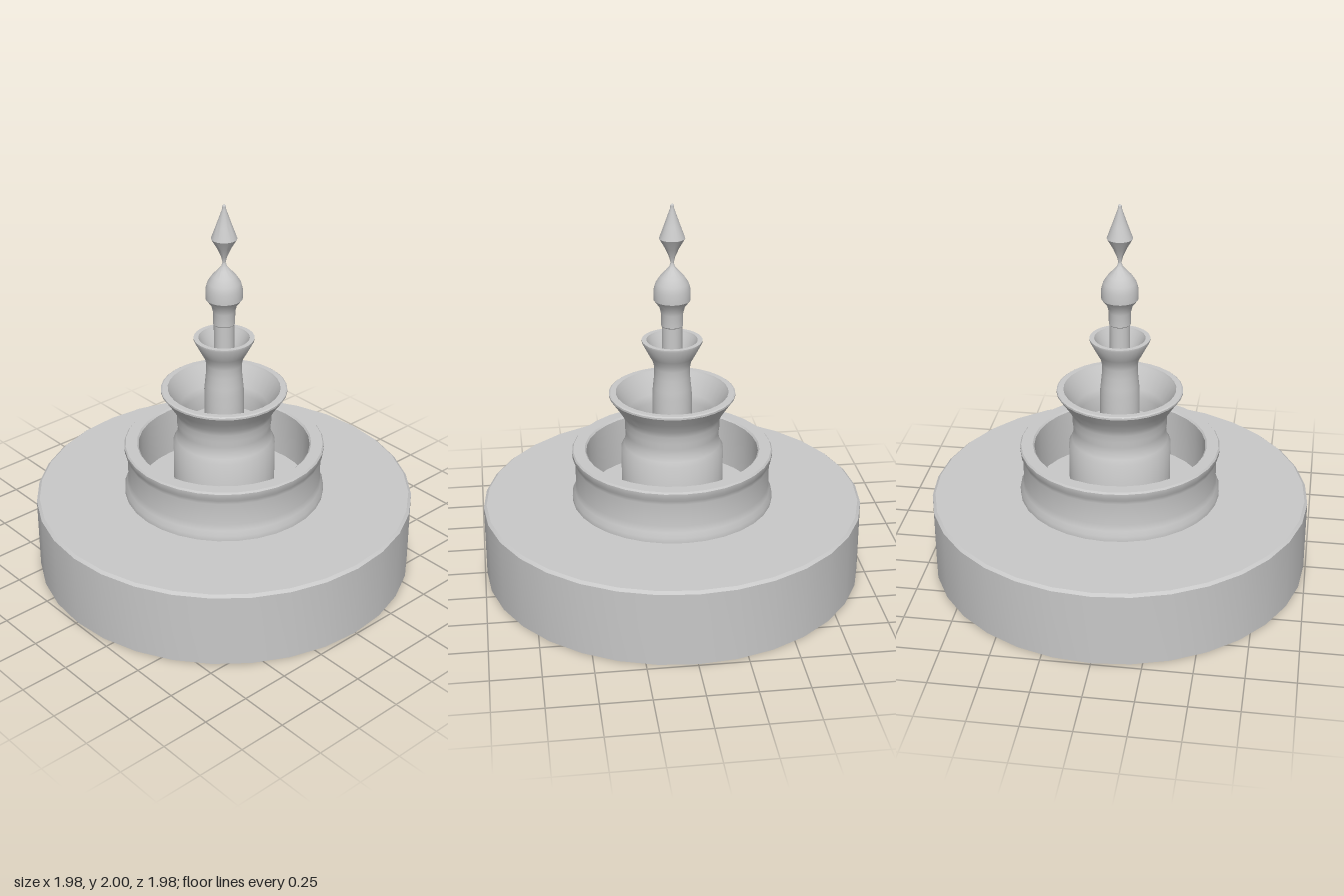
import * as THREE from 'three';
import { toCreasedNormals } from 'three/addons/utils/BufferGeometryUtils.js';

const SIDES = 32;

export function createModel() {
  const fountain = new THREE.Group();
  fountain.name = 'fountain';
  const stone = new THREE.MeshStandardMaterial({ color: 0xc8c8c8 });
  stone.name = 'stone';

  // Turns a [radius, height] profile, running up the outside and down the inside
  function turn(name, profile) {
    const points = profile.map(([r, y]) => new THREE.Vector2(r, y));
    const geometry = toCreasedNormals(new THREE.LatheGeometry(points, SIDES), 0.6);
    const mesh = new THREE.Mesh(geometry, stone);
    mesh.name = name;
    fountain.add(mesh);
  }

  // Wide solid drum
  turn('base', [[0, 0], [0.99, 0], [0.99, 0.39], [0.975, 0.403], [0, 0.403]]);

  // Low ring wall with a moulded foot and rim
  turn('lowerBasin', [
    [0.525, 0.4], [0.525, 0.43], [0.512, 0.455], [0.506, 0.49], [0.506, 0.61],
    [0.509, 0.63], [0.52, 0.648], [0.522, 0.675], [0.515, 0.684],
    [0.455, 0.684], [0.447, 0.675], [0.447, 0.41], [0, 0.41],
  ]);

  // Pedestal and flared bowl
  turn('middleBasin', [
    [0.265, 0.405], [0.265, 0.69], [0.25, 0.715], [0.242, 0.75], [0.241, 0.78],
    [0.246, 0.815], [0.245, 0.85], [0.258, 0.885], [0.29, 0.935],
    [0.325, 0.985], [0.325, 0.995], [0.318, 1.0],
    [0.29, 1.0], [0.285, 0.99], [0.225, 0.89], [0.212, 0.85], [0.212, 0.77], [0, 0.77],
  ]);

  // Slim stem and small cup
  turn('upperBasin', [
    [0.102, 0.765], [0.102, 0.99], [0.098, 1.03], [0.092, 1.09], [0.092, 1.14],
    [0.098, 1.17], [0.115, 1.2], [0.154, 1.275], [0.154, 1.285],
    [0.13, 1.285], [0.127, 1.277], [0.092, 1.21], [0.08, 1.17], [0.08, 1.08], [0, 1.08],
  ]);

  // Spindle, bulb and pointed tip
  turn('finial', [
    [0.052, 1.075], [0.052, 1.36], [0.056, 1.365], [0.056, 1.43], [0.065, 1.465],
    [0.093, 1.502], [0.093, 1.555], [0.083, 1.59], [0.06, 1.625], [0.032, 1.655],
    [0.015, 1.675], [0.008, 1.695], [0.015, 1.725], [0.035, 1.77], [0.065, 1.822],
    [0.04, 1.89], [0.01, 1.975], [0.01, 1.99], [0, 2.0],
  ]);

  return fountain;
}
